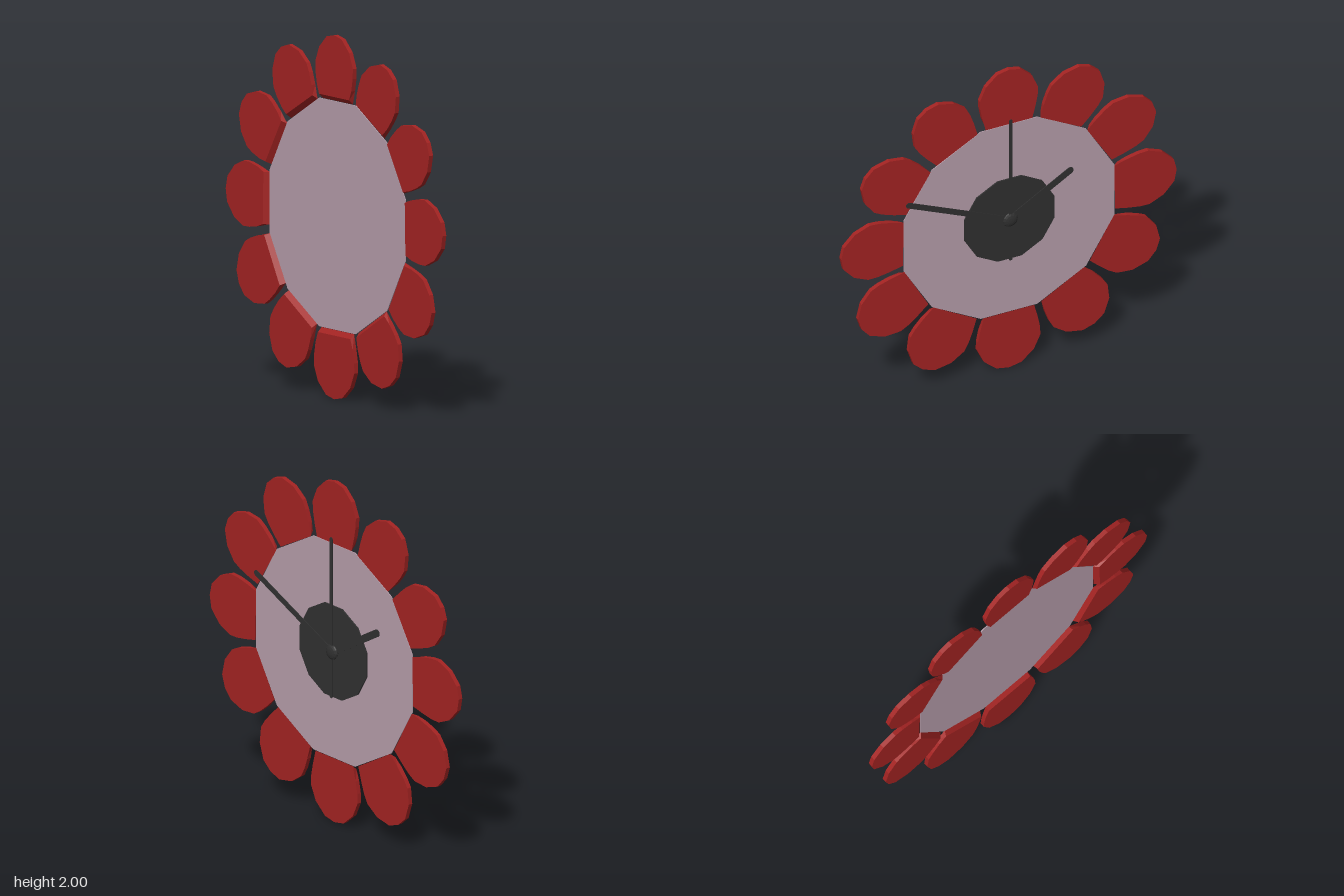
import * as THREE from 'three';

const CY = 1.005; // height of the clock centre
const paint = (color) => new THREE.MeshStandardMaterial({ color, flatShading: true });
const red = paint(0xa32322), mauve = paint(0xb59ca9), dark = paint(0x303030);

function add(parent, name, geometry, material) {
  const mesh = new THREE.Mesh(geometry, material);
  mesh.name = name;
  parent.add(mesh);
  return mesh;
}

// Flat twelve-sided plate between two depths, with a flat edge at the top
function plate(radius, z0, z1) {
  return new THREE.CylinderGeometry(radius, radius, z1 - z0, 12, 1, false, Math.PI / 12)
    .rotateX(Math.PI / 2).translate(0, 0, (z0 + z1) / 2);
}

// Petal pointing up; its inner end slopes outward towards the front
function petalGeometry(width, tip) {
  const half = [[0.14, 0.63], [0.16, 0.71], [0.173, 0.78], [0.175, 0.835], [0.139, 0.92], [0.07, 0.985]];
  const points = [
    ...half.map(([x, y]) => new THREE.Vector2(x * width, y * tip)),
    new THREE.Vector2(0, tip),
    ...half.slice().reverse().map(([x, y]) => new THREE.Vector2(-x * width, y * tip)),
  ];
  points[0].y = points[points.length - 1].y = 0.63;
  const g = new THREE.ExtrudeGeometry(new THREE.Shape(points), { depth: 0.026, bevelEnabled: false });
  const p = g.attributes.position;
  for (let i = 0; i < p.count; i++) {
    if (p.getZ(i) > 0.02 && p.getY(i) < 0.64) p.setY(i, 0.655);
  }
  g.computeVertexNormals();
  return g.translate(0, 0, 0.004);
}

// Round-ended hand along +y, running from -tail to length
function handGeometry(length, tail, width) {
  const r = width / 2;
  const s = new THREE.Shape();
  s.absarc(0, length - r, r, 0, Math.PI, false);
  s.absarc(0, -tail + r, r, Math.PI, Math.PI * 2, false);
  s.closePath();
  return new THREE.ExtrudeGeometry(s, { depth: 0.004, bevelEnabled: false, curveSegments: 6 });
}

export function createModel() {
  const group = new THREE.Group();
  group.name = 'flowerClock';
  const clock = new THREE.Group();
  clock.name = 'clock';
  clock.position.y = CY;
  group.add(clock);

  // Face and the dark centre on its back
  add(clock, 'face', plate(0.65, 0.003, 0.008), mauve);
  add(clock, 'centreDisc', plate(0.277, -0.005, 0.003), dark);

  // Ring of petals, slightly larger towards the bottom
  for (let k = 0; k < 12; k++) {
    const a = (k * Math.PI) / 6, c = Math.cos(a);
    const petal = add(clock, 'petal', petalGeometry(1.03 - 0.04 * c, 1 - 0.005 * c), red);
    petal.rotation.z = a - 0.022 * Math.sin(a);
  }

  // Hands: name, tip x, tip y, tail, width, depth
  const hands = [
    ['hourHand', -0.375, 0.23, 0.02, 0.042, -0.012],
    ['minuteHand', 0.62, 0.285, 0.02, 0.034, -0.016],
    ['secondHand', 0, 0.675, 0.27, 0.02, -0.02],
  ];
  for (const [name, x, y, tail, width, z] of hands) {
    const hand = add(clock, name, handGeometry(Math.hypot(x, y), tail, width), dark);
    hand.rotation.z = Math.atan2(-x, y);
    hand.position.z = z;
  }

  // Domed hub holding the hands
  const hub = add(clock, 'hub', new THREE.SphereGeometry(0.045, 12, 8).rotateX(Math.PI / 2), dark);
  hub.scale.z = 0.36;
  hub.position.z = -0.014;
  return group;
}
